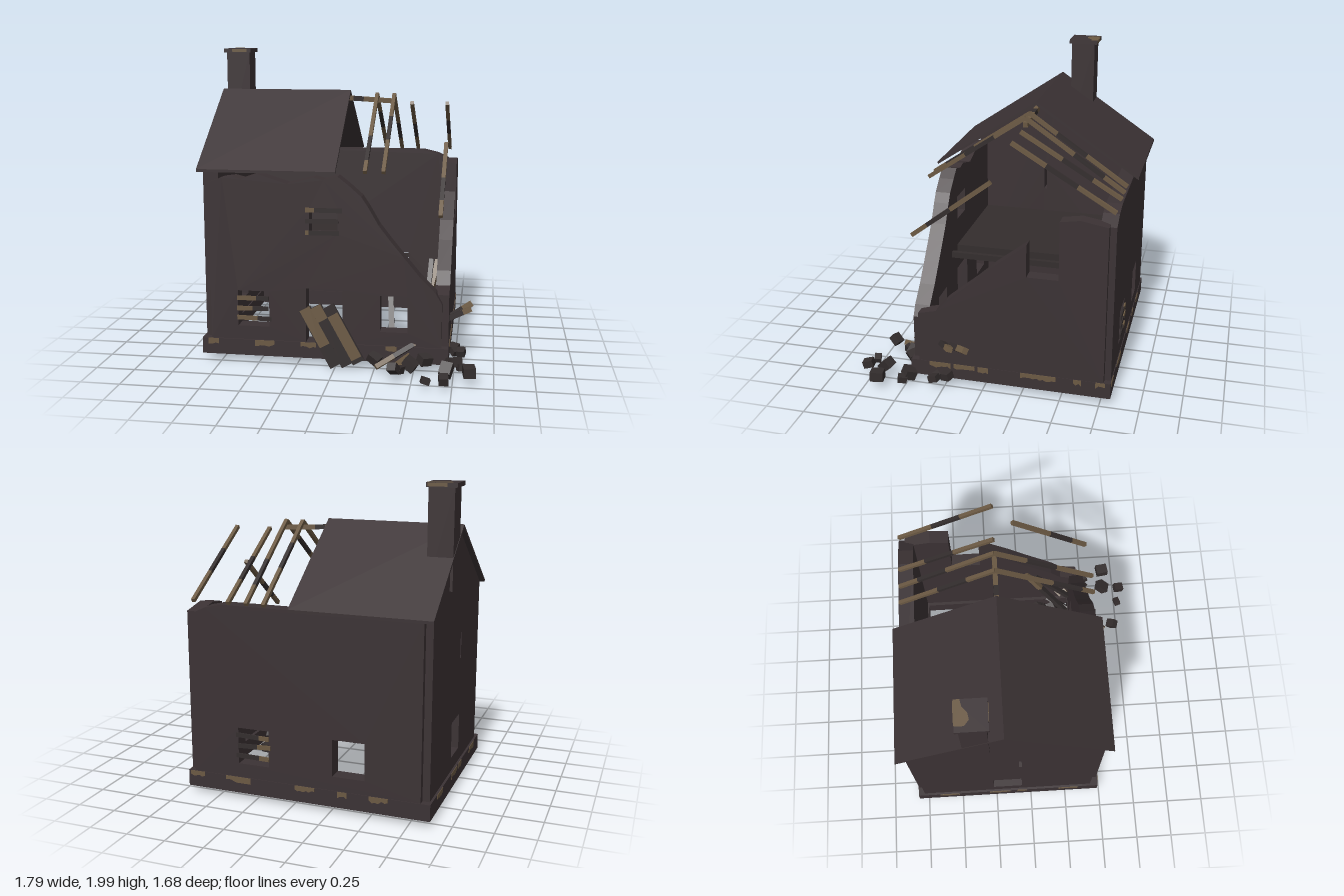
import * as THREE from 'three';

export function createModel() {
  const root = new THREE.Group();
  const make = (name, color) => {
    const m = new THREE.MeshStandardMaterial({ color });
    m.name = name;
    return m;
  };
  const stone = make('sooty stone', 0x3b3234);
  const charred = make('charred', 0x332d2d);
  const wood = make('bare wood', 0x6b5943);

  let seed = 7;
  const rnd = () => (seed = (seed * 16807) % 2147483647) / 2147483647;

  const add = (name, geo, mat, parent = root) => {
    const m = new THREE.Mesh(geo, mat);
    m.name = name;
    parent.add(m);
    return m;
  };
  const group = (name) => {
    const g = new THREE.Group();
    g.name = name;
    root.add(g);
    return g;
  };
  // box given by its min and max corners
  const box = (name, a, b, mat, parent) => {
    const m = add(name, new THREE.BoxGeometry(b[0] - a[0], b[1] - a[1], b[2] - a[2]), mat, parent);
    m.position.set((a[0] + b[0]) / 2, (a[1] + b[1]) / 2, (a[2] + b[2]) / 2);
    return m;
  };
  const shapeOf = (pts) => new THREE.Shape(pts.map((p) => new THREE.Vector2(p[0], p[1])));
  const rect = (x0, x1, y0, y1) => shapeOf([[x0, y0], [x1, y0], [x1, y1], [x0, y1]]);
  const wall = (name, pts, holes, depth = 0.1) => {
    const s = shapeOf(pts);
    s.holes = holes.map((h) => rect(...h));
    return add(name, new THREE.ExtrudeGeometry(s, { depth, bevelEnabled: false }), stone);
  };
  // square timber between two points, burnt along part of its length
  const beam = (name, a, b, w = 0.026, burnt = 0.3, parent = root) => {
    const A = new THREE.Vector3(...a), B = new THREE.Vector3(...b);
    const g = new THREE.Group();
    g.name = name;
    const len = A.distanceTo(B);
    const s = 0.2 + rnd() * 0.4;
    [[0, s, wood], [s, Math.min(1, s + burnt), charred], [Math.min(1, s + burnt), 1, wood]].forEach(([t0, t1, m]) => {
      if (t1 - t0 > 0.01) {
        box('length', [-w / 2, -w / 2, t0 * len], [w / 2, w / 2, t1 * len], burnt >= 1 ? charred : m, g);
      }
    });
    g.position.copy(A);
    g.quaternion.setFromUnitVectors(new THREE.Vector3(0, 0, 1), B.clone().sub(A).normalize());
    parent.add(g);
  };

  // Foundation ring
  const base = group('foundation');
  const Y0 = 0.05, Y1 = 0.155;
  box('foundationFront', [-0.88, Y0, 0.37], [0.715, Y1, 0.485], stone, base);
  box('foundationBack', [-0.88, Y0, -0.815], [0.715, Y1, -0.7], stone, base);
  box('foundationLeft', [-0.88, Y0, -0.7], [-0.755, Y1, 0.37], stone, base);
  box('foundationRight', [0.6, Y0, -0.7], [0.715, Y1, 0.37], stone, base);

  // Walls
  wall('frontWall', [
    [-0.82, 0.155], [-0.195, 0.155], [-0.195, 0.51], [0.04, 0.51], [0.04, 0.155], [0.67, 0.155], [0.67, 0.44],
    [0.63, 0.51], [0.53, 0.61], [0.43, 0.73], [0.34, 0.84], [0.27, 0.93], [0.2, 1.05], [0.16, 1.11], [0.08, 1.18],
    [0.01, 1.235], [-0.08, 1.21], [-0.14, 1.225], [-0.31, 1.18], [-0.5, 1.24], [-0.6, 1.205], [-0.66, 1.22],
    [-0.73, 1.21], [-0.82, 1.18],
  ], [[-0.64, -0.435, 0.245, 0.48], [0.28, 0.455, 0.245, 0.48], [-0.17, 0.01, 0.87, 1.03]]).position.z = 0.375;
  wall('backWall', [
    [-0.82, 0.155], [0.67, 0.155], [0.67, 1.18], [0.57, 1.23], [0.46, 1.255], [-0.82, 1.255],
  ], [[-0.47, -0.265, 0.245, 0.48], [0.155, 0.36, 0.245, 0.48]]).position.z = -0.81;
  const left = wall('leftGableWall', [
    [-0.77, 0.155], [0.43, 0.155], [0.43, 1.27], [-0.165, 1.68], [-0.77, 1.27],
  ], [[-0.265, -0.065, 0.245, 0.48], [-0.085, -0.065, 0.86, 1.03]]);
  const right = wall('rightBrokenWall', [
    [-0.77, 0.155], [0.43, 0.155], [0.43, 0.49], [0.31, 0.52], [0.24, 0.6], [0.05, 0.76], [-0.07, 0.87],
    [-0.275, 1.03], [-0.275, 0.82], [-0.475, 0.82], [-0.475, 1.2], [-0.6, 1.22], [-0.77, 1.19],
  ], [], 0.09);
  left.rotation.y = right.rotation.y = -Math.PI / 2;
  left.position.x = -0.765;
  right.position.x = 0.712;

  // Remaining half of the roof
  const roof = wall('roof', [
    [0.51, 1.25], [0.51, 1.268], [-0.168, 1.727], [-0.85, 1.268], [-0.85, 1.25], [-0.168, 1.703],
  ].reverse(), [], 0.885);
  roof.rotation.y = -Math.PI / 2;

  // Chimney with a chipped cap
  const chimney = group('chimney');
  box('stack', [-0.882, 1.355, -0.42], [-0.722, 1.975, -0.26], stone, chimney);
  box('cap', [-0.9, 1.97, -0.438], [-0.71, 1.997, -0.245], stone, chimney);
  const chip = add('capChip', new THREE.ShapeGeometry(shapeOf([
    [-0.865, 0.438], [-0.865, 0.38], [-0.83, 0.352], [-0.79, 0.36], [-0.755, 0.39], [-0.711, 0.4], [-0.711, 0.438],
  ])), wood, chimney);
  chip.rotation.x = -Math.PI / 2;
  chip.position.y = 1.999;
  box('capSideChip', [-0.84, 1.975, -0.441], [-0.72, 1.996, -0.438], wood, chimney);
  box('capFrontChip', [-0.84, 1.975, -0.245], [-0.74, 1.996, -0.242], wood, chimney);

  // Exposed ridge and rafters
  const frame = group('roofFrame');
  beam('ridgeBeam', [-0.05, 1.675, -0.168], [0.3, 1.655, -0.168], 0.03, 0.2, frame);
  for (const x of [0.18, 0.295]) beam('frontRafter', [x, 1.7, -0.17], [x, 1.265, 0.47], 0.024, 0.3, frame);
  for (const x of [0.18, 0.295, 0.415, 0.65]) {
    beam('backRafter', [x, x > 0.4 ? 1.645 : 1.7, -0.165], [x, 1.265, -0.8], 0.024, 0.3, frame);
  }
  beam('fallenRafter', [0.655, 1.39, -0.04], [0.65, 1.0, 0.47], 0.026, 0.3, frame);

  // Upper floor on joists
  const floor = group('upperFloor');
  box('floorBoards', [-0.77, 0.66, -0.715], [0.03, 0.685, 0.38], charred, floor);
  for (let i = 0; i < 6; i++) {
    const x = -0.7 + i * 0.14;
    box('joist', [x, 0.62, -0.715], [x + 0.025, 0.66, 0.38], charred, floor);
    if (i < 5) box('bareUnderside', [x + 0.03, 0.656, -0.6 + rnd() * 0.15], [x + 0.135, 0.66, 0.05 + rnd() * 0.25], wood, floor);
  }
  box('looseJoist', [0.122, 0.64, -0.72], [0.152, 0.68, 0.38], charred, floor);

  // Boards nailed over openings: x0, x1, y, tilt, bare fraction
  const boards = (name, list, z) => {
    const g = group(name);
    for (const [x0, x1, y, tilt, bare] of list) {
      const b = new THREE.Group();
      b.name = 'board';
      const h = (x1 - x0) / 2, s = -h + 2 * h * bare;
      if (bare > 0) box('bareEnd', [-h, -0.014, -0.005], [s, 0.014, 0.005], wood, b);
      if (bare < 1) box('burntEnd', [s, -0.014, -0.005], [h, 0.014, 0.005], charred, b);
      b.position.set((x0 + x1) / 2, y, z);
      b.rotation.z = tilt;
      g.add(b);
    }
  };
  boards('upperWindowBoards', [[-0.195, 0.04, 1.02, 0, 0.25], [-0.195, 0.015, 0.95, 0.02, 0], [-0.195, 0.02, 0.875, 0.01, 0.1]], 0.481);
  boards('lowerWindowBoards', [[-0.645, -0.435, 0.433, 0.01, 0.6], [-0.645, -0.44, 0.365, 0.02, 0.5], [-0.645, -0.42, 0.3, -0.02, 0.6]], 0.481);
  boards('backWindowBoards', [[0.15, 0.37, 0.433, 0.03, 0.3], [0.14, 0.36, 0.37, -0.04, 0.4], [0.15, 0.37, 0.3, 0.02, 0.3]], -0.816);

  // Door planks leaning in the doorway
  const door = group('fallenDoor');
  [[-0.09, 0.215, 0.42], [-0.02, 0.225, 0.43], [0.055, 0.235, 0.41]].forEach(([x, y, len], i) => {
    const p = new THREE.Group();
    p.name = 'doorPlank';
    box('plank', [-0.04, -len / 2, -0.008], [0.04, len / 2, 0.008], charred, p);
    const ends = [[-len / 2 + 0.15, len / 2], [len / 2 - 0.1, len / 2], [-len / 2 + 0.03, len / 2 - 0.06]][i];
    for (const z of [-0.0095, 0.0095]) box('bareWood', [-0.035, ends[0], z - 0.0015], [0.035, ends[1], z + 0.0015], wood, p);
    p.position.set(x, y, 0.545 - i * 0.008);
    p.rotation.set(-0.05, 0.1, 0.5);
    door.add(p);
  });

  // Ragged worn patches along the top of the foundation: start, end along each side
  const patches = (name, spans, angle, offset) => {
    const g = group(name);
    for (const [a, b] of spans) {
      const pts = [[a, 0], [b, 0]];
      const n = Math.max(3, Math.round((b - a) / 0.02));
      for (let i = 0; i <= n; i++) pts.push([b - ((b - a) * i) / n, -0.022 - 0.02 * rnd()]);
      add('wornPatch', new THREE.ExtrudeGeometry(shapeOf(pts.reverse()), { depth: 0.004, bevelEnabled: false }), wood, g);
    }
    g.rotation.y = angle;
    g.position.set(Math.sin(angle) * offset, Y1, Math.cos(angle) * offset);
  };
  patches('frontPatches', [[-0.84, -0.77], [-0.53, -0.4], [-0.23, -0.13], [0.01, 0.13], [0.32, 0.39]], 0, 0.484);
  patches('rightPatches', [[-0.36, -0.22], [-0.2, -0.06], [-0.04, 0.03], [0.24, 0.47], [0.58, 0.63], [0.72, 0.78]], Math.PI / 2, 0.714);
  patches('backPatches', [[-0.7, -0.6], [-0.45, -0.28], [0.02, 0.15], [0.3, 0.36], [0.5, 0.62]], Math.PI, 0.814);
  patches('leftPatches', [[-0.66, -0.52], [-0.3, -0.15], [-0.1, -0.03], [0.2, 0.34]], -Math.PI / 2, 0.879);

  // Collapsed timbers at the broken corner
  const debris = group('collapsedTimbers');
  [
    [[0.6, 0.24, 0.33], [0.84, 0.335, 0.08], 0.04, 0.4],
    [[0.58, 0.26, 0.37], [0.84, 0.33, 0.18], 0.035, 0.5],
    [[0.27, 0.06, 0.61], [0.56, 0.2, 0.42], 0.03, 0.4],
    [[0.36, 0.06, 0.65], [0.62, 0.15, 0.22], 0.035, 0.5],
    [[0.3, 0.62, 0.08], [0.35, 0.12, 0.37], 0.035, 1],
    [[0.62, 0.62, 0.05], [0.5, 0.1, 0.37], 0.035, 0.6],
    [[0.58, 0.64, 0.12], [0.56, 0.3, 0.37], 0.03, 1],
  ].forEach(([a, b, w, burnt]) => beam('fallenTimber', a, b, w, burnt, debris));

  // Rubble, as x and z pairs
  const rubble = group('rubble');
  [
    [0.51, -0.04], [0.54, 0.1], [0.24, 0.08], [0.27, 0.13], [0.22, 0.2], [0.26, 0.28], [0.34, 0.3], [0.5, 0.28],
    [0.56, 0.26], [0.6, 0.15], [0.57, 0.19], [0.75, 0.3], [0.79, 0.31], [0.74, 0.24], [0.5, 0.48], [0.75, 0.49],
    [0.8, 0.52], [0.39, 0.71], [0.59, 0.77], [0.71, 0.66], [0.85, 0.67], [0.7, 0.79], [0.25, 0.5], [0.48, 0.55],
    [0.41, 0.6], [0.57, 0.52],
  ].forEach(([x, z]) => {
    const s = 0.045 + rnd() * 0.03;
    const m = add('brokenStone', new THREE.BoxGeometry(s * 1.15, s * 0.85, s), charred, rubble);
    m.position.set(x, 0.05 + rnd() * 0.045, z);
    m.rotation.set(rnd() * 1.2 - 0.6, rnd() * 3, rnd() * 1.2 - 0.6);
  });

  return root;
}
